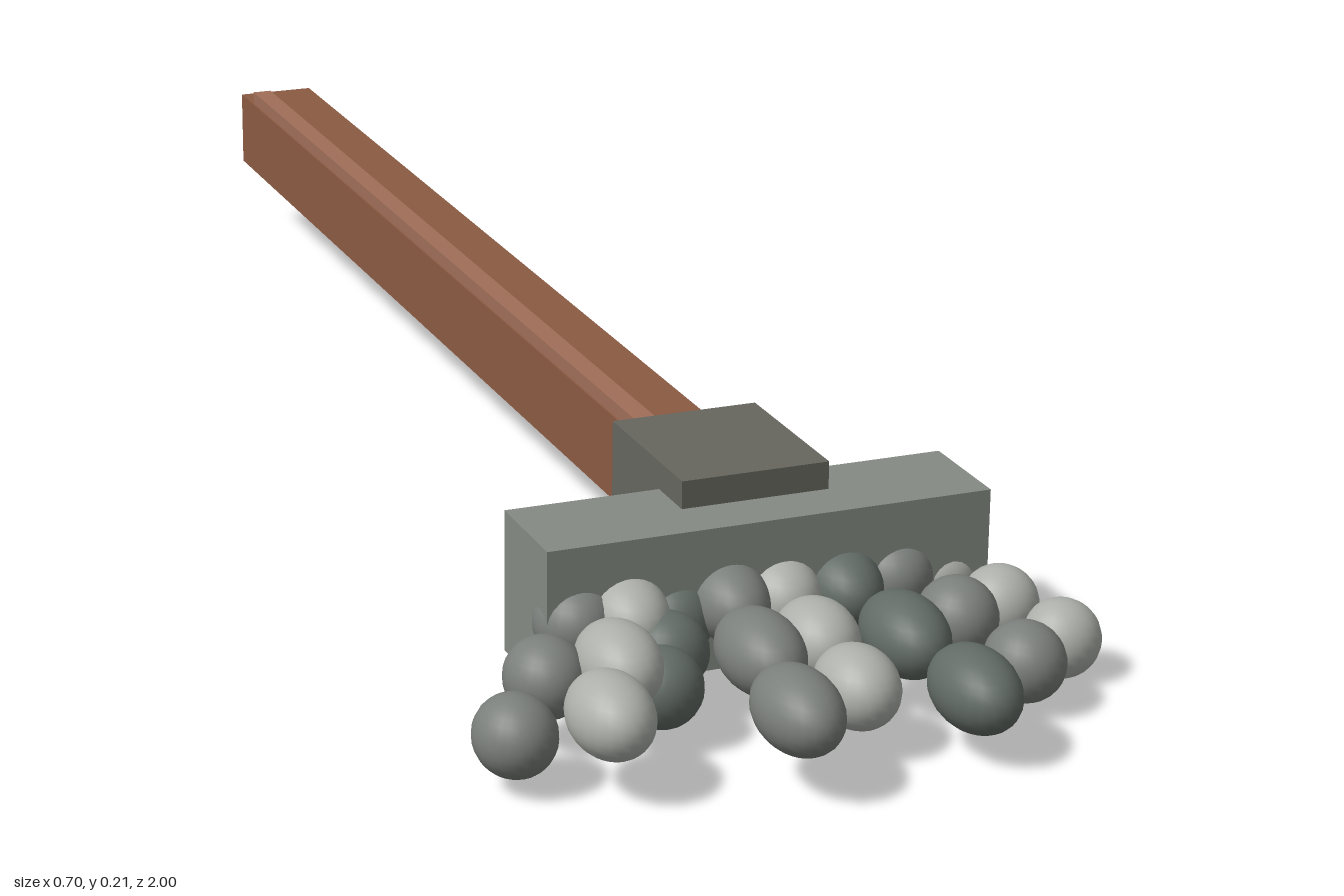
import * as THREE from 'three';

export function createModel() {
  const model = new THREE.Group();
  const material = (color) => new THREE.MeshStandardMaterial({ color });

  // Box given by its minimum and maximum corners
  function box(name, color, min, max) {
    const size = max.map((v, i) => v - min[i]);
    const mesh = new THREE.Mesh(new THREE.BoxGeometry(...size), material(color));
    mesh.position.set(...max.map((v, i) => (v + min[i]) / 2));
    mesh.name = name;
    model.add(mesh);
  }

  // Wooden handle with a thin raised strip along its top
  box('handle', 0x8b5a42, [-0.025, 0.095, -1], [0.072, 0.19, 0.47]);
  box('handleStrip', 0xa06f58, [-0.023, 0.188, -0.95], [0.001, 0.206, 0.43]);

  // Socket and crossbar
  box('socket', 0x66665f, [-0.058, 0.055, 0.457], [0.105, 0.217, 0.645]);
  box('crossbar', 0x848a83, [-0.227, 0.033, 0.585], [0.26, 0.187, 0.705]);

  // Mop strands: three stretched beads each, fanning out from the crossbar
  const shades = [0x7b7f7b, 0xadb0aa, 0x626b66].map(material);
  const bead = new THREE.SphereGeometry(1, 24, 16);
  const strands = [
    // first bead, last bead, half length
    { from: [-0.19, 0.1, 0.685], to: [-0.31, 0.06, 0.837], length: 0.047 },
    { from: [-0.138, 0.104, 0.695], to: [-0.229, 0.087, 0.88], length: 0.06 },
    { from: [-0.082, 0.088, 0.685], to: [-0.14, 0.066, 0.795], length: 0.042 },
    { from: [-0.028, 0.104, 0.69], to: [-0.057, 0.087, 0.932], length: 0.066 },
    { from: [0.031, 0.1, 0.69], to: [0.035, 0.071, 0.87], length: 0.054 },
    { from: [0.1, 0.1, 0.685], to: [0.14, 0.072, 0.917], length: 0.065 },
    { from: [0.163, 0.1, 0.68], to: [0.235, 0.055, 0.84], length: 0.046 },
    { from: [0.221, 0.09, 0.67], to: [0.308, 0.045, 0.78], length: 0.042 },
  ];
  strands.forEach(({ from, to, length }, i) => {
    const strand = new THREE.Group();
    strand.name = `strand${i + 1}`;
    const start = new THREE.Vector3(...from);
    const end = new THREE.Vector3(...to);
    for (let k = 0; k < 3; k++) {
      const mesh = new THREE.Mesh(bead, shades[i % 3]);
      mesh.name = 'strandBead';
      mesh.position.lerpVectors(start, end, k / 2);
      mesh.scale.set(0.042, 0.042, length);
      strand.add(mesh);
    }
    model.add(strand);
  });

  return model;
}
